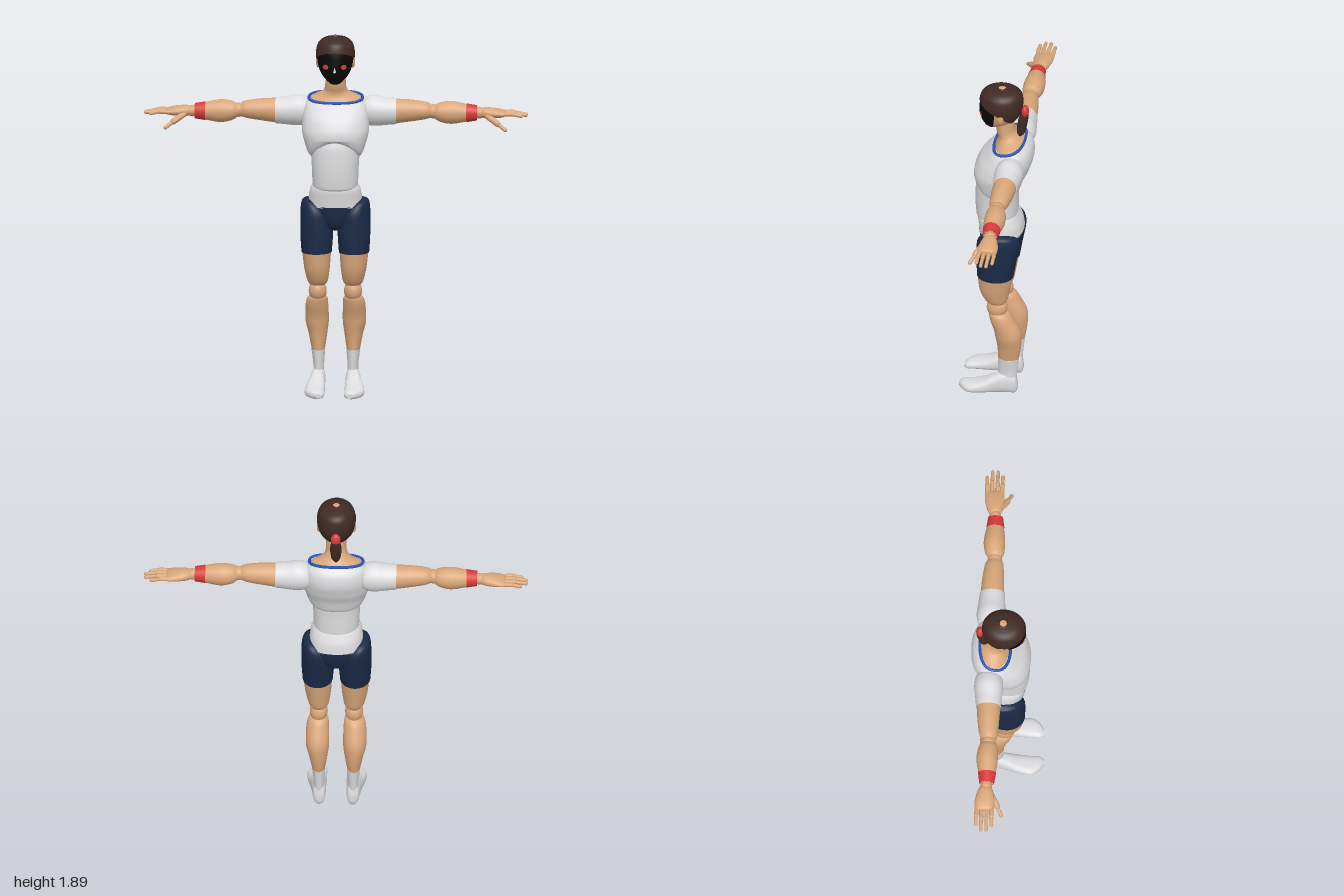
import * as THREE from 'three';

const mat = (name, color, side = THREE.FrontSide) => {
  const m = new THREE.MeshStandardMaterial({ color, side });
  m.name = name;
  return m;
};
const clamp = (v) => Math.min(1, Math.max(0, v));

// Smooth monotone interpolation through rows [t, cx, cz, rx, rz] at row position s
function sample(rows, s) {
  const i = Math.min(Math.floor(s), rows.length - 2), f = s - i;
  const slope = (k, c) => {
    if (k <= 0 || k >= rows.length - 1) return rows[Math.min(k + 1, rows.length - 1)][c] - rows[Math.max(k - 1, 0)][c];
    const a = rows[k][c] - rows[k - 1][c], b = rows[k + 1][c] - rows[k][c];
    return a * b <= 0 ? 0 : (2 * a * b) / (a + b);
  };
  return rows[i].map((p, c) => {
    const q = rows[i + 1][c], f2 = f * f, f3 = f2 * f;
    return p * (2 * f3 - 3 * f2 + 1) + slope(i, c) * (f3 - 2 * f2 + f) + q * (3 * f2 - 2 * f3) + slope(i + 1, c) * (f3 - f2);
  });
}

function ringPoint([t, cx, cz, rx, rz], a, n = 2, grow = 0) {
  const pw = (v) => Math.sign(v) * Math.abs(v) ** (2 / n);
  return [cx + (rx + grow) * pw(Math.cos(a)), t, cz + (rz + grow) * pw(Math.sin(a))];
}

function build(pos, idx) {
  const g = new THREE.BufferGeometry();
  g.setAttribute('position', new THREE.Float32BufferAttribute(pos, 3));
  g.setIndex(idx);
  g.computeVertexNormals();
  return g;
}

// Closed body through elliptical sections, with crisp end caps
function loft(rows, { n = 2, warp, sides = 32, steps = 5 } = {}) {
  const pos = [], idx = [], count = (rows.length - 1) * steps;
  const put = (p) => { pos.push(...(warp ? warp(...p) : p)); };
  for (let i = 0; i <= count; i++) {
    const row = sample(rows, i / steps);
    for (let j = 0; j < sides; j++) put(ringPoint(row, (j / sides) * Math.PI * 2, n));
  }
  for (let i = 0; i < count; i++) for (let j = 0; j < sides; j++) {
    const a = i * sides + j, b = i * sides + ((j + 1) % sides), c = a + sides, d = b + sides;
    idx.push(a, c, b, b, c, d);
  }
  for (const top of [false, true]) {
    const row = rows[top ? rows.length - 1 : 0], base = pos.length / 3;
    put([row[1], row[0], row[2]]);
    for (let j = 0; j < sides; j++) put(ringPoint(row, (j / sides) * Math.PI * 2, n));
    for (let j = 0; j < sides; j++) {
      const p = base + 1 + j, q = base + 1 + ((j + 1) % sides);
      idx.push(base, ...(top ? [q, p] : [p, q]));
    }
  }
  return build(pos, idx);
}

// Thin shell lying on a lofted body: angles a0..a1, from height low(a) to high
function shell(rows, a0, a1, low, high, grow) {
  const nu = 48, nv = 20, pos = [], idx = [];
  const at = (y) => {
    let lo = 0, hi = rows.length - 1;
    for (let k = 0; k < 30; k++) { const m = (lo + hi) / 2; if (sample(rows, m)[0] < y) lo = m; else hi = m; }
    return sample(rows, lo);
  };
  for (let i = 0; i <= nv; i++) for (let j = 0; j <= nu; j++) {
    const a = a0 + ((a1 - a0) * j) / nu, s = Math.sin((i / nv) * Math.PI / 2);
    const p = ringPoint(at(low(a) + (high - low(a)) * s), a, 2, grow);
    pos.push(p[0], p[1] + (i === nv ? grow * 0.5 : 0), p[2]);
    if (i < nv && j < nu) {
      const k = i * (nu + 1) + j, c = k + nu + 1;
      idx.push(k, c, k + 1, k + 1, c, c + 1);
    }
  }
  return build(pos, idx);
}

const ball = (x, y, z, rx, ry = rx, rz = rx) => new THREE.SphereGeometry(1, 24, 16).scale(rx, ry, rz).translate(x, y, z);

function capsule(a, b, r) {
  const A = new THREE.Vector3(...a), d = new THREE.Vector3(...b).sub(A);
  const q = new THREE.Quaternion().setFromUnitVectors(new THREE.Vector3(0, 1, 0), d.clone().normalize());
  const c = A.clone().addScaledVector(d, 0.5);
  return new THREE.CapsuleGeometry(r, d.length(), 5, 12).applyQuaternion(q).translate(c.x, c.y, c.z);
}

// Arm sections [x, y, z, ry, rz] and foot sections [z, x, y, rx, ry]
const armLoft = (rows) => loft(rows.map(([x, y, z, a, b]) => [x, -y, z, a, b])).rotateZ(-Math.PI / 2);
const footLoft = (rows) => loft(rows.map(([z, x, y, a, b]) => [z, x, -y, a, b]), { n: 2.4 }).rotateX(Math.PI / 2);

function mirrored(g) {
  const m = g.clone().scale(-1, 1, 1), ix = m.index;
  for (let i = 0; i < ix.count; i += 3) { const t = ix.getX(i); ix.setX(i, ix.getX(i + 1)); ix.setX(i + 1, t); }
  return m;
}

export function createModel() {
  const model = new THREE.Group();
  model.name = 'athlete';
  const skin = mat('skin', 0xd9a679), white = mat('white cloth', 0xdcdcde), navy = mat('navy cloth', 0x1b2a47);
  const red = mat('red', 0xd93a3a, THREE.DoubleSide), brown = mat('brown hair', 0x402a24, THREE.DoubleSide);
  const black = mat('black mask', 0x090909, THREE.DoubleSide), blue = mat('blue trim', 0x2a55c0);
  const add = (name, g, m) => { const o = new THREE.Mesh(g, m); o.name = name; model.add(o); };
  const pair = (name, g, m) => { add(name + 'Left', g, m); add(name + 'Right', mirrored(g), m); };

  // Head, mask and hair
  const head = [[1.645, 0, 0.018, 0.018, 0.03], [1.66, 0, 0.01, 0.037, 0.05], [1.7, 0, -0.005, 0.07, 0.085], [1.75, 0, -0.015, 0.088, 0.105],
    [1.8, 0, -0.02, 0.094, 0.108], [1.85, 0, -0.023, 0.084, 0.1], [1.88, 0, -0.025, 0.052, 0.064], [1.89, 0, -0.025, 0.004, 0.004]];
  add('head', loft(head), skin);
  add('mask', shell(head, 0.17, Math.PI - 0.17, () => 1.648, 1.828, 0.004), black);
  add('hair', shell(head, 0, Math.PI * 2, (a) => 1.768 + 0.052 * Math.sin(a) - 0.03 * clamp(-Math.sin(a)), 1.889, 0.008), brown);
  add('ponytail', loft([[1.595, 0, -0.12, 0.008, 0.008], [1.625, 0, -0.125, 0.024, 0.022], [1.69, 0, -0.134, 0.03, 0.026],
    [1.74, 0, -0.144, 0.022, 0.02], [1.765, 0, -0.14, 0.014, 0.014]]), brown);
  add('hairTie', ball(0, 1.755, -0.146, 0.026, 0.035, 0.02), red);
  add('nose', new THREE.ConeGeometry(0.008, 0.05, 4).translate(0, 1.742, 0.091), white);
  pair('ear', ball(0.091, 1.752, -0.03, 0.011, 0.03, 0.017), skin);
  pair('eye', new THREE.CircleGeometry(0.017, 8).scale(1, 0.8, 1).rotateY(0.5).translate(0.047, 1.745, 0.08), red);

  // Neck and torso; the neckline is higher at the back
  const neckline = (x, y, z) => [x, y - 0.22 * (z + 0.06) * clamp((y - 1.45) / 0.1) * clamp((1.64 - y) / 0.08), z];
  add('neck', loft([[1.53, 0, -0.066, 0.137, 0.077], [1.555, 0, -0.067, 0.132, 0.075], [1.575, 0, -0.066, 0.095, 0.063],
    [1.6, 0, -0.058, 0.062, 0.053], [1.63, 0, -0.045, 0.054, 0.05], [1.69, 0, -0.038, 0.052, 0.048]], { warp: neckline }), skin);
  const chestWarp = (x, y, z) => {
    const arch = 0.85 * clamp(1 - (x / 0.135) ** 2) * clamp(z / 0.07) * clamp((1.37 - y) / 0.03);
    return neckline(x, y + (1.36 - y) * arch, z);
  };
  add('chest', loft([[1.25, 0, -0.005, 0.115, 0.1], [1.27, 0, -0.008, 0.137, 0.113], [1.33, 0, -0.012, 0.16, 0.128], [1.4, 0, -0.028, 0.175, 0.143],
    [1.46, 0, -0.05, 0.173, 0.14], [1.52, 0, -0.066, 0.163, 0.115], [1.555, 0, -0.066, 0.14, 0.08]], { n: 2.4, warp: chestWarp, sides: 48 }), white);
  const trim = Array.from({ length: 40 }, (_, i) =>
    new THREE.Vector3(...neckline(...ringPoint([1.555, 0, -0.066, 0.14, 0.08], (i / 40) * Math.PI * 2, 2.4))));
  add('necklineTrim', new THREE.TubeGeometry(new THREE.CatmullRomCurve3(trim, true), 100, 0.008, 6, true), blue);
  add('waist', loft([[1.085, 0, 0, 0.105, 0.095], [1.1, 0, 0, 0.117, 0.108], [1.2, 0, 0.002, 0.122, 0.112],
    [1.3, 0, -0.003, 0.127, 0.112], [1.37, 0, -0.01, 0.115, 0.1]], { n: 2.3 }), white);
  add('shirtHem', loft([[0.995, 0, -0.025, 0.142, 0.117], [1.05, 0, -0.018, 0.138, 0.115], [1.09, 0, -0.008, 0.13, 0.108],
    [1.12, 0, -0.005, 0.112, 0.095]], { n: 2.3 }), white);
  add('shortsSeat', loft([[0.865, 0, -0.02, 0.025, 0.04], [0.89, 0, -0.024, 0.06, 0.09], [0.95, 0, -0.025, 0.125, 0.112],
    [1.0, 0, -0.025, 0.143, 0.119]], { n: 2.2 }), navy);

  // Legs
  pair('shortsLeg', loft([[0.75, 0.0975, -0.005, 0.079, 0.096], [0.85, 0.097, -0.012, 0.085, 0.105], [0.95, 0.101, -0.021, 0.081, 0.113],
    [1.0, 0.117, -0.025, 0.062, 0.1], [1.025, 0.132, -0.025, 0.038, 0.07], [1.035, 0.137, -0.025, 0.012, 0.025]]), navy);
  pair('thigh', loft([[0.575, 0.092, -0.012, 0.04, 0.045], [0.59, 0.092, -0.01, 0.051, 0.058], [0.66, 0.095, -0.002, 0.066, 0.08],
    [0.76, 0.0975, -0.005, 0.076, 0.093]]), skin);
  pair('knee', ball(0.092, 0.54, -0.014, 0.047, 0.058, 0.055), skin);
  pair('calf', loft([[0.21, 0.091, -0.073, 0.033, 0.053], [0.3, 0.093, -0.078, 0.048, 0.063], [0.38, 0.097, -0.073, 0.061, 0.07],
    [0.46, 0.097, -0.044, 0.059, 0.064], [0.5, 0.094, -0.028, 0.053, 0.057], [0.515, 0.093, -0.022, 0.042, 0.045]]), skin);
  pair('sock', loft([[0.07, 0.089, -0.07, 0.028, 0.045], [0.13, 0.089, -0.071, 0.028, 0.049], [0.22, 0.091, -0.073, 0.036, 0.056]]), white);
  pair('shoe', footLoft([[-0.122, 0.088, 0.045, 0.012, 0.02], [-0.11, 0.088, 0.056, 0.029, 0.054], [-0.06, 0.09, 0.064, 0.037, 0.064],
    [0, 0.095, 0.053, 0.042, 0.053], [0.06, 0.101, 0.037, 0.05, 0.037], [0.12, 0.104, 0.027, 0.052, 0.027],
    [0.165, 0.09, 0.022, 0.038, 0.022], [0.188, 0.08, 0.018, 0.014, 0.012]]), white);

  // Arms
  pair('sleeve', armLoft([[0.125, 1.48, -0.095, 0.035, 0.04], [0.15, 1.482, -0.095, 0.07, 0.068], [0.2, 1.483, -0.095, 0.081, 0.075],
    [0.26, 1.48, -0.093, 0.073, 0.07], [0.315, 1.48, -0.092, 0.068, 0.065]]), white);
  pair('upperArm', armLoft([[0.3, 1.48, -0.092, 0.066, 0.063], [0.4, 1.485, -0.09, 0.056, 0.056], [0.47, 1.486, -0.087, 0.045, 0.048],
    [0.495, 1.485, -0.085, 0.036, 0.038]]), skin);
  pair('elbow', ball(0.507, 1.482, -0.085, 0.037), skin);
  pair('forearm', armLoft([[0.515, 1.48, -0.085, 0.036, 0.038], [0.54, 1.478, -0.087, 0.05, 0.05], [0.6, 1.476, -0.09, 0.06, 0.056],
    [0.69, 1.475, -0.088, 0.044, 0.043], [0.735, 1.475, -0.088, 0.036, 0.035]]), skin);
  pair('wristband', armLoft([[0.68, 1.475, -0.088, 0.049, 0.047], [0.735, 1.475, -0.088, 0.04, 0.039]]), red);
  pair('wrist', ball(0.748, 1.475, -0.09, 0.03), skin);
  pair('palm', armLoft([[0.752, 1.475, -0.092, 0.022, 0.028], [0.78, 1.475, -0.094, 0.029, 0.04], [0.84, 1.473, -0.096, 0.025, 0.052],
    [0.875, 1.471, -0.097, 0.017, 0.051], [0.885, 1.47, -0.097, 0.01, 0.045]]), skin);
  [[-0.138, 0.96], [-0.111, 0.99], [-0.083, 0.99], [-0.057, 0.965]].forEach(([z, tip], k) => {
    const mid = 0.87 + (tip - 0.87) * 0.5;
    pair('fingerBase' + k, capsule([0.865, 1.472, z * 0.9 - 0.01], [mid, 1.474, z], 0.0115), skin);
    pair('fingerTip' + k, capsule([mid + 0.01, 1.472, z], [tip, 1.465, z], 0.0095), skin);
  });
  pair('thumbBase', capsule([0.79, 1.462, -0.065], [0.845, 1.428, -0.03], 0.016), skin);
  pair('thumbTip', capsule([0.85, 1.425, -0.028], [0.885, 1.4, -0.008], 0.01), skin);
  return model;
}
